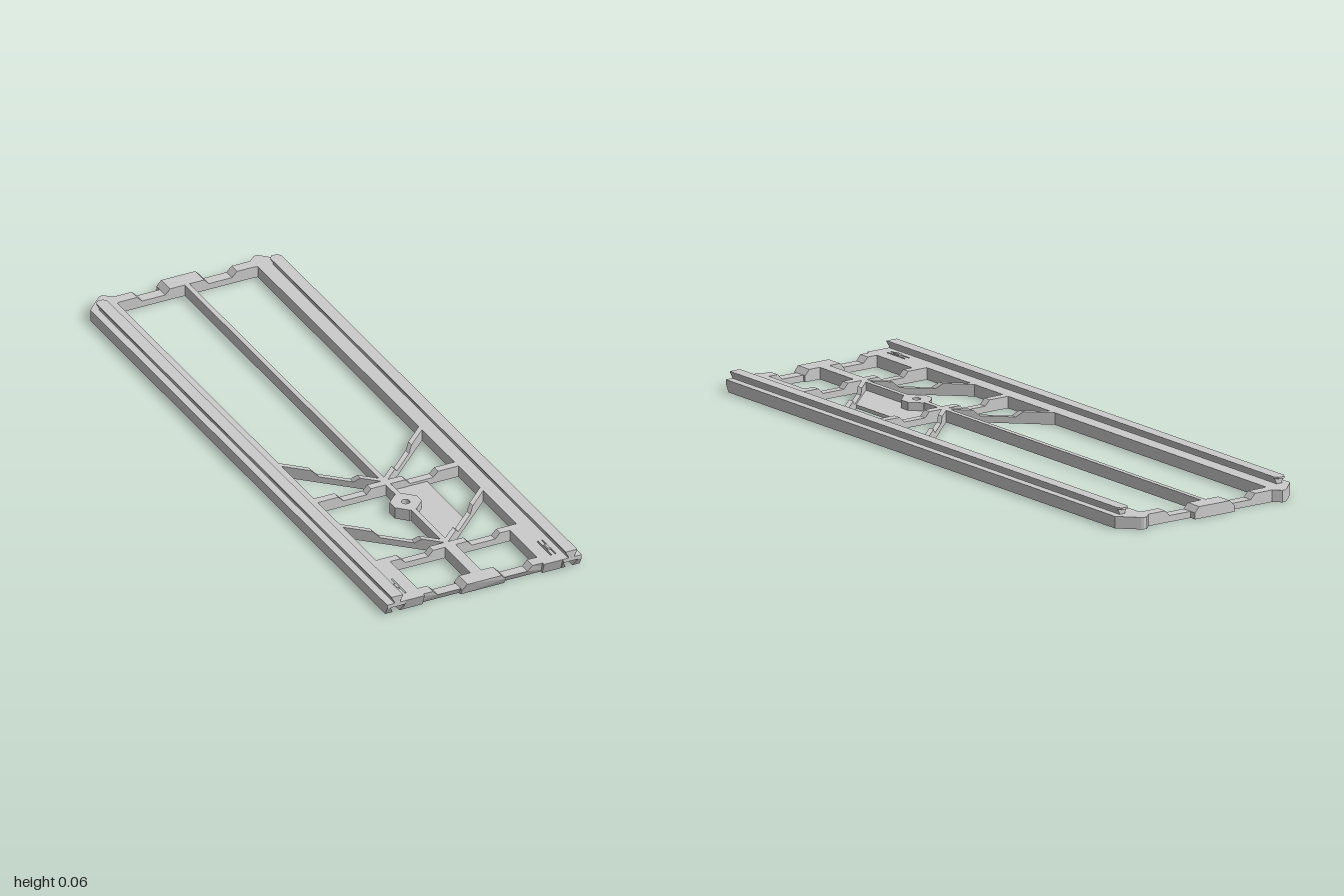
import * as THREE from 'three';

const H = 0.037;      // frame height
const LOW = 0.02;     // height of the notches in the cross members
const RAIL_TOP = 0.06;

export function createModel() {
  const model = new THREE.Group();
  const material = new THREE.MeshStandardMaterial({ color: 0xcccccc, flatShading: true });

  const add = (name, geometry) => {
    const mesh = new THREE.Mesh(geometry, material);
    mesh.name = name;
    model.add(mesh);
    return mesh;
  };
  const toShape = (pts, s = 1) => new THREE.Shape(pts.map(([a, b]) => new THREE.Vector2(a * s, b)));

  // x-y section swept along z
  const sweep = (shape, z0, z1) =>
    new THREE.ExtrudeGeometry(shape, { depth: z1 - z0, bevelEnabled: false }).translate(0, 0, z0);

  // x-z plan raised from y0 to y1
  const slab = (shape, y0, y1) =>
    new THREE.ExtrudeGeometry(shape, { depth: y1 - y0, bevelEnabled: false, curveSegments: 16 })
      .rotateX(Math.PI / 2).translate(0, y1, 0);

  const rectPath = (x0, x1, z0, z1, s) => new THREE.Path(
    [[x0, z0], [x1, z0], [x1, z1], [x0, z1]].map(([x, z]) => new THREE.Vector2(x * s, z)));

  // undercut of the lower front edge
  const undercut = (geometry) => {
    const p = geometry.attributes.position;
    for (let i = 0; i < p.count; i++) {
      const y = p.getY(i);
      if (p.getZ(i) > 0.985 && y < 0.025) p.setZ(i, p.getZ(i) - 0.014 * (1 - y / 0.025));
    }
    geometry.computeVertexNormals();
    return geometry;
  };

  // notched outline shared by cross members and braces
  const notched = [[0, 0], [0.24, 0], [0.24, H], [0.167, H], [0.15, LOW], [0.073, LOW], [0.057, H], [0, H]];
  const fullNotched = [...notched.slice(1, 7), ...notched.slice(1, 7).reverse().map(([x, y]) => [-x, y])];
  const block = [[-0.073, 0], [0.073, 0], [0.073, LOW], [0.057, H], [-0.057, H], [-0.073, LOW]];

  for (const s of [1, -1]) {
    const side = s > 0 ? 'left' : 'right';

    // side rail with a dovetail groove underneath
    add(side + 'Rail', undercut(sweep(toShape([
      [0.262, 0], [0.278, 0], [0.265, 0.025], [0.313, 0.025], [0.301, 0],
      [0.325, 0], [0.325, 0.025], [0.325, H], [0.262, H],
    ], s), -0.94, 1)));

    // inner strip of the rail, widened at the front, slotted around the clip
    const strip = toShape([[0.235, -0.94], [0.263, -0.94], [0.263, 1], [0.2, 1], [0.2, 0.76], [0.235, 0.76]], s);
    strip.holes.push(rectPath(0.241, 0.246, 0.87, 0.96, s), rectPath(0.257, 0.261, 0.87, 0.96, s));
    add(side + 'InnerStrip', undercut(slab(strip, 0, H)));

    // raised clip on the tongue between the slots
    add(side + 'Clip', sweep(toShape([
      [0.246, H], [0.258, H], [0.258, 0.041], [0.256, 0.043], [0.248, 0.043], [0.246, 0.041],
    ], s), 0.905, 0.93));

    // dovetail on top with a pointed back end
    const dovetail = sweep(toShape([
      [0.281, H - 0.002], [0.301, H - 0.002], [0.301, 0.041], [0.31, 0.057], [0.31, RAIL_TOP],
      [0.272, RAIL_TOP], [0.272, 0.057], [0.281, 0.041],
    ], s), -0.93, 1);
    add(side + 'Dovetail', dovetail);
    add(side + 'DovetailTip', slab(toShape([
      [0.272, -0.93], [0.281, -0.943], [0.301, -0.943], [0.31, -0.93],
    ], s), 0.054, RAIL_TOP));

    // chamfered back corner closing the rail
    add(side + 'BackCorner', slab(toShape([
      [0.325, -0.94], [0.27, -0.995], [0.262, -1], [0.252, -1], [0.228, -0.977], [0.228, -0.94],
    ], s), 0, H));

    // diagonal braces, sheared backwards towards the rail
    for (const z of [0.335, 0.735]) {
      const brace = sweep(toShape(notched, s), z, z + 0.021);
      brace.applyMatrix4(new THREE.Matrix4().set(1, 0, 0, 0, 0, 1, 0, 0, -0.95 * s, 0, 1, 0, 0, 0, 0, 1));
      brace.computeVertexNormals();
      add(side + 'DiagonalBrace', brace);
    }
  }

  // cross members from back to front
  for (const [name, z0, z1] of [
    ['backCrossbar', -0.978, -0.942], ['middleCrossbar', 0.345, 0.371],
    ['forwardCrossbar', 0.75, 0.776], ['frontCrossbar', 0.952, 0.99],
  ]) add(name, undercut(sweep(toShape(fullNotched), z0, z1)));
  add('backCentreBlock', sweep(toShape(block), -1, -0.943));
  add('frontCentreBlock', undercut(sweep(toShape(block), 0.943, 1)));

  // central spine, wider between the two front crossbars
  const bar = (name, w, z0, z1) =>
    add(name, new THREE.BoxGeometry(w, H, z1 - z0).translate(0, H / 2, (z0 + z1) / 2));
  bar('rearSpine', 0.016, -0.95, 0.437);
  bar('middleSpine', 0.016, 0.533, 0.76);
  bar('frontSpine', 0.036, 0.76, 0.95);

  // screw hub on the spine
  const hole = (r) => new THREE.Path().absarc(0, 0.485, r, 0, Math.PI * 2, true);
  const hub = toShape([
    [-0.012, 0.435], [0.012, 0.435], [0.045, 0.468], [0.045, 0.502],
    [0.012, 0.535], [-0.012, 0.535], [-0.045, 0.502], [-0.045, 0.468],
  ]);
  hub.holes.push(hole(0.013));
  add('hub', slab(hub, 0, H));

  // thin floor plate beside the spine, cut off along the brace
  add('floorPlate', slab(toShape([
    [0.005, 0.365], [0.13, 0.365], [0.13, 0.625], [0.005, 0.745], [0.005, 0.533],
    [0.014, 0.533], [0.044, 0.502], [0.044, 0.468], [0.014, 0.437], [0.005, 0.437],
  ]), 0.001, 0.012));

  return model;
}
